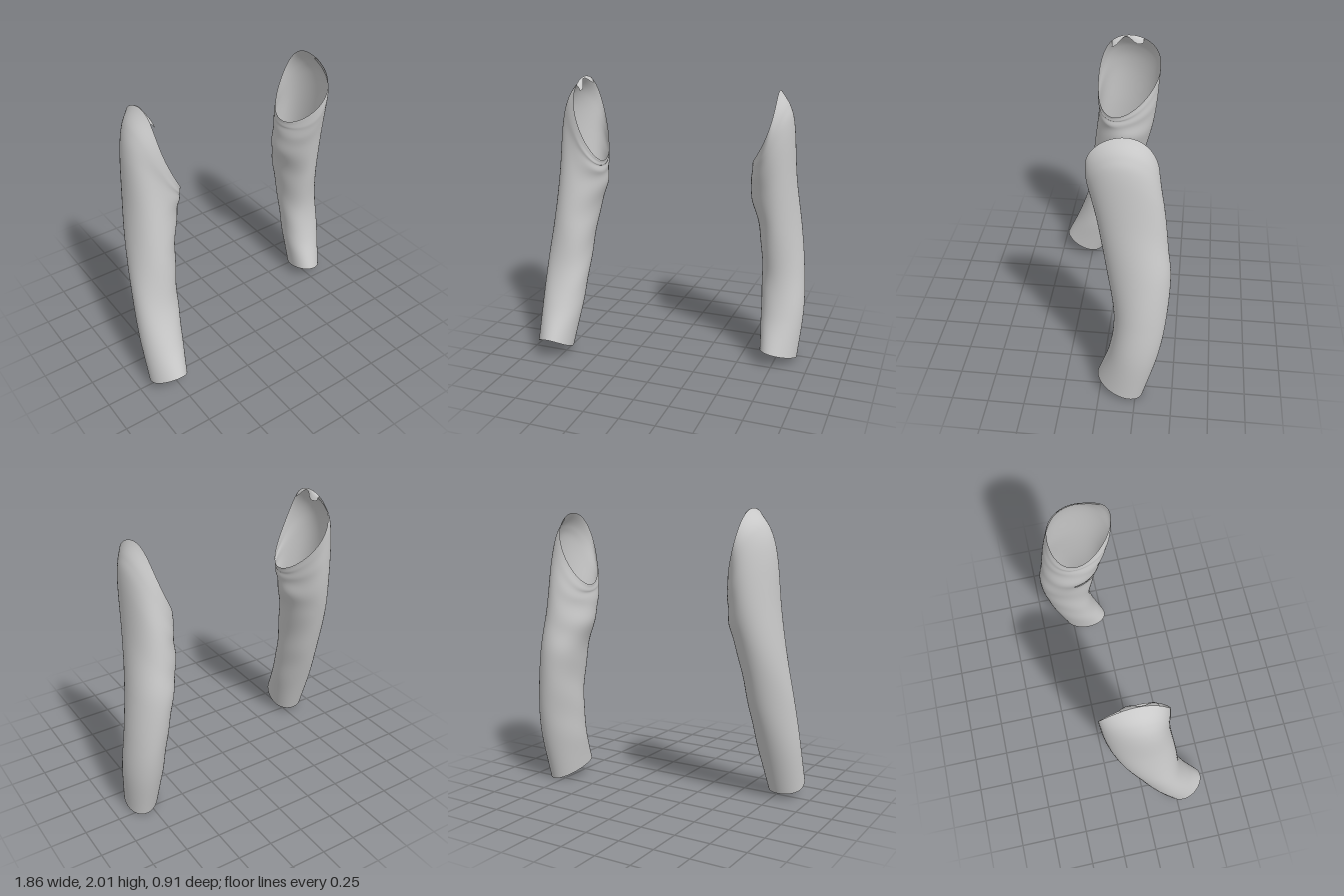
import * as THREE from 'three';

const material = new THREE.MeshStandardMaterial({ color: 0xcccccc, side: THREE.DoubleSide });

// Each ring, cuff to armhole: outer, front, inner and back points
const LEFT = [
  [[.90, .03, -.15], [.75, .10, .02], [.65, .08, -.13], [.79, .00, -.30]],
  [[.925, .38, -.22], [.76, .36, -.06], [.63, .35, -.20], [.79, .35, -.39]],
  [[.907, .68, -.26], [.75, .65, -.09], [.615, .65, -.25], [.77, .65, -.435]],
  [[.873, 1.0, -.26], [.72, 1.0, -.045], [.585, .95, -.25], [.72, .97, -.455]],
  [[.835, 1.35, -.21], [.69, 1.3, .01], [.53, 1.2, -.21], [.69, 1.2, -.425]],
  [[.81, 1.72, -.16], [.685, 1.52, .06], [.53, 1.36, -.20], [.69, 1.45, -.395]],
  [[.775, 1.86, -.14], [.685, 1.63, .08], [.53, 1.42, -.20], [.68, 1.62, -.37]],
  [[.71, 1.96, -.13], [.69, 1.72, .085], [.53, 1.46, -.19], [.66, 1.74, -.35]],
];
const RIGHT = [
  [[-.93, .07, .30], [-.79, .16, .455], [-.68, .07, .31], [-.79, .035, .165]],
  [[-.93, .40, .19], [-.78, .38, .355], [-.635, .38, .20], [-.77, .38, .04]],
  [[-.912, .70, .11], [-.76, .66, .265], [-.605, .68, .11], [-.75, .68, -.065]],
  [[-.88, 1.0, .04], [-.73, 1.0, .22], [-.57, 1.0, .05], [-.72, 1.0, -.165]],
  [[-.845, 1.35, -.02], [-.69, 1.3, .185], [-.515, 1.25, .0], [-.68, 1.25, -.225]],
  [[-.815, 1.70, -.04], [-.67, 1.53, .165], [-.503, 1.36, .02], [-.66, 1.5, -.26]],
  [[-.765, 1.88, -.04], [-.66, 1.64, .165], [-.50, 1.40, .03], [-.65, 1.66, -.275]],
  [[-.675, 2.0, -.04], [-.645, 1.73, .165], [-.495, 1.43, .03], [-.64, 1.76, -.28]],
];

// Smooth loop through the four guide points at height t, with soft cloth folds
function sleeveSurface(rings) {
  const guides = [0, 1, 2, 3].map(k => new THREE.CatmullRomCurve3(
    rings.map(r => new THREE.Vector3(...r[k])), false, 'catmullrom', 0.5));
  return (angle, t) => {
    const [o, f, i, b] = guides.map(g => g.getPoint(t));
    const c = Math.cos(angle), s = Math.sin(angle), c2 = Math.cos(2 * angle);
    const centre = o.clone().add(f).add(i).add(b).multiplyScalar(0.25);
    const p = new THREE.Vector3()
      .addScaledVector(o, c / 2 + c2 / 4).addScaledVector(i, -c / 2 + c2 / 4)
      .addScaledVector(f, s / 2 - c2 / 4).addScaledVector(b, -s / 2 - c2 / 4);
    p.add(centre);
    const fold = Math.sin(t * 42 + 2 * s) * Math.max(0, -c) * 0.02
      + Math.sin(3 * angle + t * 14) * 0.015;
    return p.lerp(centre, fold * Math.sin(Math.PI * t));
  };
}

// Grid mesh over a point function; wrapping joins the last column to the first
function gridMesh(name, point, columns, rows, wrap, flip) {
  const positions = [], index = [];
  const width = wrap ? columns : columns + 1;
  for (let j = 0; j <= rows; j++) {
    for (let i = 0; i < width; i++) positions.push(...point(i / columns, j / rows).toArray());
  }
  for (let j = 0; j < rows; j++) {
    for (let i = 0; i < columns; i++) {
      const a = j * width + i, b = j * width + (i + 1) % width;
      const c = a + width, d = b + width;
      if (flip) index.push(a, b, c, b, d, c);
      else index.push(a, c, b, b, c, d);
    }
  }
  const geometry = new THREE.BufferGeometry();
  geometry.setAttribute('position', new THREE.Float32BufferAttribute(positions, 3));
  geometry.setIndex(index);
  geometry.computeVertexNormals();
  const mesh = new THREE.Mesh(geometry, material);
  mesh.name = name;
  return mesh;
}

export function createModel() {
  const model = new THREE.Group();
  model.name = 'sleeves';
  for (const [name, rings, flip] of [['leftSleeve', LEFT, false], ['rightSleeve', RIGHT, true]]) {
    const surface = sleeveSurface(rings);
    model.add(gridMesh(name, (u, v) => surface(u * Math.PI * 2, v), 64, 90, true, flip));
  }

  // Loose seam allowance folded over the top of the right armhole
  const edge = sleeveSurface(RIGHT);
  model.add(gridMesh('seamFlap', (u, v) => {
    const p = edge(-0.5 + 1.1 * u, 1);
    const depth = 0.6 + 0.4 * Math.sin(u * 9);
    return p.add(new THREE.Vector3(0.035 * v * depth, -0.045 * v * v * depth, 0));
  }, 16, 4, false, true));
  return model;
}
